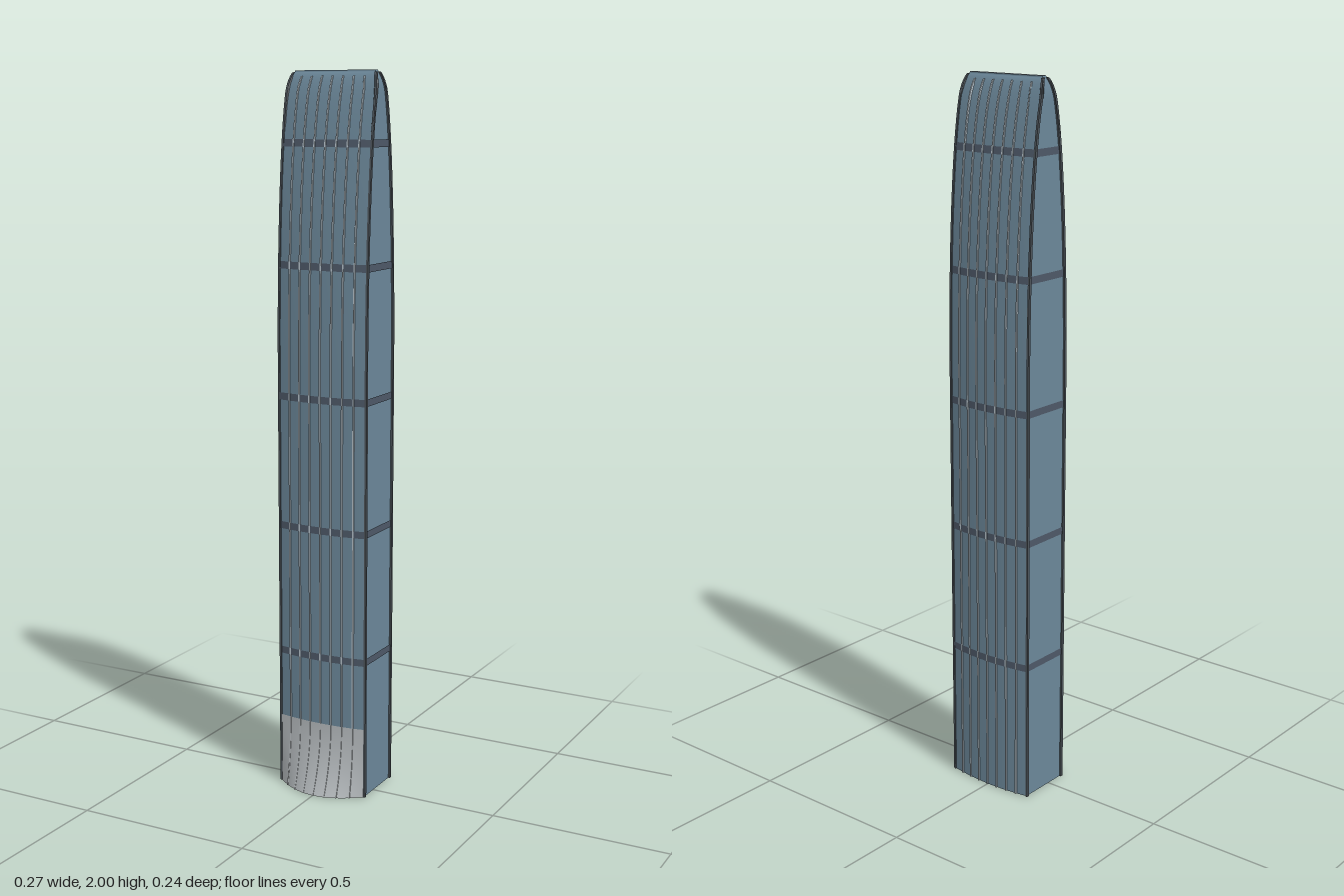
import * as THREE from 'three';
import { ParametricGeometry } from 'three/addons/geometries/ParametricGeometry.js';

const H = 2, W = 0.132, CZ = -0.022, LOBBY = 0.2;

// half depth on the centre line: straight shaft, then an elliptic arch
const halfDepth = (y) => {
  const t = Math.max(0, (y - 1.2) / 0.8);
  return Math.max(0.009, 0.092 * Math.sqrt(Math.max(0, 1 - t * t)));
};
// half width: rounded in at the very top
const halfWidth = (y) => W - 0.012 * Math.max(0, (y - 1.94) / 0.06) ** 2;
// bowed curtain wall, side = 1 front, -1 back
const wallZ = (side, x, y, off = 0) =>
  CZ + side * (halfDepth(y) * (1 - 0.14 * (x / W) ** 2) + off);
// flared entrance canopy
const canopyZ = (x, y, off = 0) =>
  wallZ(1, x, y, off) + 0.045 * (1 - Math.min(1, y / LOBBY)) ** 2 * (1 - (x / W) ** 2);

export function createModel() {
  const mat = (name, color, side = THREE.FrontSide) => {
    const m = new THREE.MeshStandardMaterial({ color, side });
    m.name = name;
    return m;
  };
  const glass = mat('blue glass', 0x6b8799);
  const bandMat = mat('dark band', 0x4d5867, THREE.DoubleSide);
  const metal = mat('light metal', 0xb4c0c8);
  const corner = mat('corner trim', 0x4c5359);
  const stone = mat('canopy grey', 0xb4b9bc, THREE.DoubleSide);

  const model = new THREE.Group();
  model.name = 'tower';
  const add = (parent, name, geo, material) => {
    const m = new THREE.Mesh(geo, material);
    m.name = name;
    parent.add(m);
    return m;
  };
  const group = (name) => {
    const g = new THREE.Group();
    g.name = name;
    model.add(g);
    return g;
  };

  // four wall patches between two heights, pushed outward by off
  const walls = (parent, name, y0, y1, off, material, nv) => {
    const yAt = (v) => y0 + (y1 - y0) * (1 - (1 - v) ** 2);
    for (const s of [1, -1]) {
      add(parent, name + (s > 0 ? 'Front' : 'Back'), new ParametricGeometry((u, v, p) => {
        const y = yAt(v), w = halfWidth(y) + off, x = s * (2 * u - 1) * w;
        p.set(x, y, wallZ(s, x, y, off));
      }, 16, nv), material);
      add(parent, name + (s > 0 ? 'Left' : 'Right'), new ParametricGeometry((u, v, p) => {
        const y = yAt(v), w = halfWidth(y) + off;
        const zf = wallZ(s, w, y, off), zb = wallZ(-s, w, y, off);
        p.set(s * w, y, zf + (zb - zf) * u);
      }, 1, nv), material);
    }
  };
  walls(group('shaft'), 'wall', 0, H, 0, glass, 60);

  // horizontal bands
  const bands = group('bands');
  for (const y of [0.395, 0.76, 1.125, 1.485, 1.81]) walls(bands, 'band', y - 0.01, y + 0.01, 0.002, bandMat, 2);

  // roof strip and underside
  const plan = (y, up) => new ParametricGeometry((u, v, p) => {
    const x = (2 * u - 1) * halfWidth(y);
    const a = wallZ(up, x, y), b = wallZ(-up, x, y);
    p.set(x, y, a + (b - a) * v);
  }, 16, 1);
  add(model, 'roofStrip', plan(H, 1), metal);
  add(model, 'underside', plan(0, -1), glass);

  // thin vertical fin following a depth profile zAt(y, off)
  const fin = (parent, name, x, y0, y1, t, out, zAt, material) => {
    const pts = [], n = 48;
    const yAt = (i) => y0 + (y1 - y0) * (1 - (1 - i / n) ** 2);
    for (let i = 0; i <= n; i++) pts.push(new THREE.Vector2(zAt(yAt(i), out), yAt(i)));
    for (let i = n; i >= 0; i--) pts.push(new THREE.Vector2(zAt(yAt(i), -0.004), yAt(i)));
    const geo = new THREE.ExtrudeGeometry(new THREE.Shape(pts), { depth: t, bevelEnabled: false });
    geo.rotateY(-Math.PI / 2).translate(x + t / 2, 0, 0);
    // follow the rounded top edge
    const p = geo.attributes.position;
    for (let i = 0; i < p.count; i++) p.setX(i, p.getX(i) * halfWidth(p.getY(i)) / W);
    geo.computeVertexNormals();
    add(parent, name, geo, material);
  };

  const fins = group('fins'), trims = group('cornerTrims'), canopy = group('canopy');
  for (const s of [1, -1]) {
    for (let i = -3; i <= 3; i++) {
      const x = i * 0.033;
      fin(fins, 'fin', x, s > 0 ? LOBBY : 0, 1.985, 0.004, 0.004, (y, o) => wallZ(s, x, y, o), metal);
    }
    for (const x of [-0.134, 0.134])
      fin(trims, 'cornerTrim', x, 0, 1.995, 0.006, 0.004, (y, o) => wallZ(s, x, y, o), corner);
  }

  // entrance canopy with fine ribs
  add(canopy, 'canopyShell', new ParametricGeometry((u, v, p) => {
    const x = (2 * u - 1) * W, y = v * LOBBY;
    p.set(x, y, canopyZ(x, y, 0.002));
  }, 24, 16), stone);
  for (let i = -3; i <= 3; i++) {
    const x = i * 0.033;
    fin(canopy, 'canopyRib', x, 0, LOBBY, 0.003, 0.004, (y, o) => canopyZ(x, y, o), stone);
  }

  return model;
}
